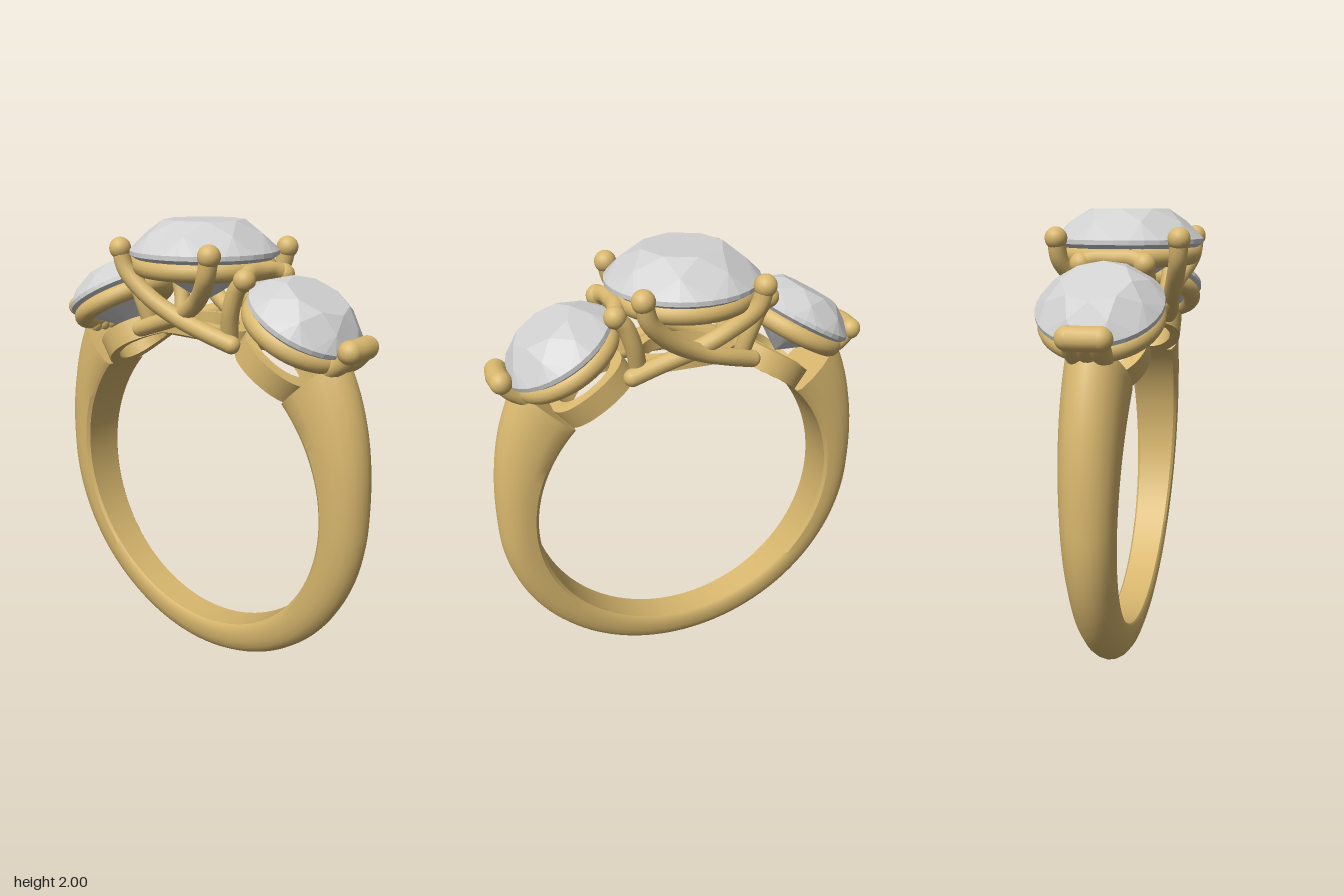
import * as THREE from 'three';
import { toCreasedNormals, mergeGeometries } from 'three/addons/utils/BufferGeometryUtils.js';

const CY = 0.85, INNER = 0.69;           // finger hole centre height and radius
const rad = THREE.MathUtils.degToRad;
const V = (x, y, z) => new THREE.Vector3(x, y, z);

function geometryFrom(triangles) {
  return new THREE.BufferGeometry().setFromPoints(triangles);
}

// Tapered band: a domed section swept round the finger hole, open at the top
function shankGeometry() {
  const section = [[-0.85, 0], [0.85, 0], [0.97, 0.08], [1, 0.3], [0.95, 0.52], [0.8, 0.73],
    [0.55, 0.89], [0.28, 0.97], [0, 1], [-0.28, 0.97], [-0.55, 0.89], [-0.8, 0.73],
    [-0.95, 0.52], [-1, 0.3], [-0.97, 0.08]];
  const steps = 96, n = section.length, rings = [];
  for (let i = 0; i <= steps; i++) {
    const a = rad(43.5 - 267 * i / steps);
    const rise = Math.max(0, Math.sin(a)) / Math.sin(rad(43.5));
    const outer = 0.85 + 0.13 * Math.pow(rise, 1.8);
    const half = 0.077 + 0.05 * (Math.sin(a) + 1) / 1.69;
    rings.push(section.map(([u, v]) => {
      const r = INNER + (outer - INNER) * v;
      return V(r * Math.cos(a), CY + r * Math.sin(a), u * half);
    }));
  }
  const t = [];
  for (let i = 0; i < steps; i++) {
    for (let j = 0; j < n; j++) {
      const k = (j + 1) % n, p = rings[i], q = rings[i + 1];
      t.push(p[j], q[j], p[k], p[k], q[j], q[k]);
    }
  }
  const first = rings[0], last = rings[steps];
  for (let j = 1; j < n - 1; j++) {
    t.push(first[0], first[j], first[j + 1], last[0], last[j + 1], last[j]);
  }
  return toCreasedNormals(geometryFrom(t), rad(35));
}

// Round brilliant cut stone with its girdle at y = 0
function gemGeometry(R, crown, pavilion) {
  const t = [], girdle = 0.018;
  const at = (r, deg, y) => V(R * r * Math.cos(rad(deg)), y, R * r * Math.sin(rad(deg)));
  const half = (flip, y0, tableR, height, midR, midY) => {
    const tri = (a, b, c) => (flip ? t.push(a, c, b) : t.push(a, b, c));
    const T = j => at(tableR, 45 * j, y0 + height);
    const M = j => at(midR, 45 * j + 22.5, y0 + height * midY);
    const G = k => at(1, 11.25 * k, y0);
    for (let j = 0; j < 8; j++) {
      if (tableR > 0) {
        tri(V(0, y0 + height, 0), T(j + 1), T(j));
        tri(T(j), T(j + 1), M(j));
      }
      tri(T(j), M(j), G(4 * j));
      tri(T(j), G(4 * j), M(j - 1));
      for (let k = 4 * j; k < 4 * j + 4; k++) tri(M(j), G(k + 1), G(k));
    }
  };
  half(false, 0, 0.54, crown, 0.8, 0.57);
  half(true, -girdle, 0, -pavilion, 0.25, 0.77);
  for (let k = 0; k < 32; k++) {
    const a = at(1, 11.25 * k, 0), b = at(1, 11.25 * (k + 1), 0);
    const c = at(1, 11.25 * k, -girdle), d = at(1, 11.25 * (k + 1), -girdle);
    t.push(a, b, c, b, d, c);
  }
  const g = geometryFrom(t);
  g.computeVertexNormals();
  return g;
}

// Open ring curved to follow the finger hole, measured from the hole's centre
function collarGeometry(rx, rz, wall, height) {
  const shape = new THREE.Shape().absellipse(0, 0, rx, rz, 0, Math.PI * 2);
  shape.holes.push(new THREE.Path().absellipse(0, 0, rx - wall, rz - wall, 0, Math.PI * 2, true));
  const g = new THREE.ExtrudeGeometry(shape, { depth: height, bevelEnabled: false, curveSegments: 32 });
  g.rotateX(-Math.PI / 2);
  const p = g.attributes.position;
  for (let i = 0; i < p.count; i++) {
    const x = p.getX(i), r = INNER + p.getY(i);
    p.setY(i, Math.sqrt(r * r - x * x));
  }
  return toCreasedNormals(g, rad(35));
}

// Smooth wire with rounded ends; the first end may be larger
function wireGeometry(points, r, headR = r) {
  const pts = points.map(p => V(...p));
  const ball = (p, s) => new THREE.SphereGeometry(s, 20, 14).translate(p.x, p.y, p.z);
  return mergeGeometries([
    new THREE.TubeGeometry(new THREE.CatmullRomCurve3(pts), 40, r, 14),
    ball(pts[0], headR), ball(pts[pts.length - 1], r)]);
}

export function createModel() {
  const gold = new THREE.MeshStandardMaterial({ color: 0xd8b76e });
  gold.name = 'gold';
  const stone = new THREE.MeshStandardMaterial({ color: 0xd0d0d0 });
  stone.name = 'clear stone';

  const model = new THREE.Group();
  model.name = 'threeStoneRing';
  const add = (parent, name, geometry, material = gold) => {
    const m = new THREE.Mesh(geometry, material);
    m.name = name;
    parent.add(m);
    return m;
  };
  const torus = (R, r) => new THREE.TorusGeometry(R, r, 16, 64).rotateX(Math.PI / 2);

  add(model, 'shank', shankGeometry());

  // Centre stone and its supports
  add(model, 'centreStone', gemGeometry(0.315, 0.12, 0.2), stone).position.y = 1.88;
  add(model, 'centreBasket', torus(0.262, 0.042)).position.y = 1.815;
  add(model, 'centreCollar', collarGeometry(0.23, 0.15, 0.05, 0.06)).position.y = CY;

  // Each half holds one side setting and one crossed pair of centre prongs
  for (const turn of [0, Math.PI]) {
    const half = new THREE.Group();
    half.name = turn ? 'rightHalf' : 'leftHalf';
    half.rotation.y = turn;
    model.add(half);

    // Crossed prongs sweeping down to the opposite side
    for (const s of [-1, 1]) {
      const d = s > 0 ? 0.025 : 0;
      add(half, 'centreProng', wireGeometry([
        [s * 0.245, 1.885, 0.25], [s * 0.222, 1.8, 0.243], [s * 0.13, 1.7, 0.215 - d],
        [0, 1.62, 0.18 - d], [-s * 0.14, 1.57, 0.16 - d], [-s * 0.26, 1.53, 0.13]], 0.037, 0.046));
    }

    // Tilted side stone in its basket
    const setting = new THREE.Group();
    setting.name = 'sideSetting';
    setting.position.set(0.53, 1.66, 0);
    setting.rotation.z = -rad(29);
    half.add(setting);
    add(setting, 'sideStone', gemGeometry(0.245, 0.1, 0.18), stone);
    add(setting, 'sideBasket', torus(0.203, 0.042)).position.y = -0.066;

    const collar = add(half, 'sideCollar', collarGeometry(0.18, 0.165, 0.048, 0.095));
    collar.position.y = CY;
    collar.rotation.z = -rad(33.5);

    // Outer bar prong with its stems
    add(half, 'outerProngBar', wireGeometry([[0.765, 1.563, -0.06], [0.77, 1.563, 0], [0.765, 1.563, 0.06]], 0.046));
    for (const z of [-0.05, 0, 0.05]) {
      add(half, 'outerProngStem', wireGeometry([[0.765, 1.56, z], [0.725, 1.515, z], [0.67, 1.48, z]], 0.04));
    }

    // Inner prongs, joined by a bar beneath the centre stone
    for (const s of [-1, 1]) {
      add(half, 'innerProng', wireGeometry([
        [0.32, 1.79, s * 0.128], [0.285, 1.75, s * 0.13], [0.25, 1.66, s * 0.125], [0.225, 1.55, s * 0.1]], 0.036, 0.045));
    }
    add(half, 'innerProngBar', wireGeometry([
      [0.32, 1.795, 0.125], [0.3, 1.81, 0.07], [0.295, 1.81, 0], [0.3, 1.81, -0.07], [0.32, 1.795, -0.125]], 0.036));
  }
  return model;
}
